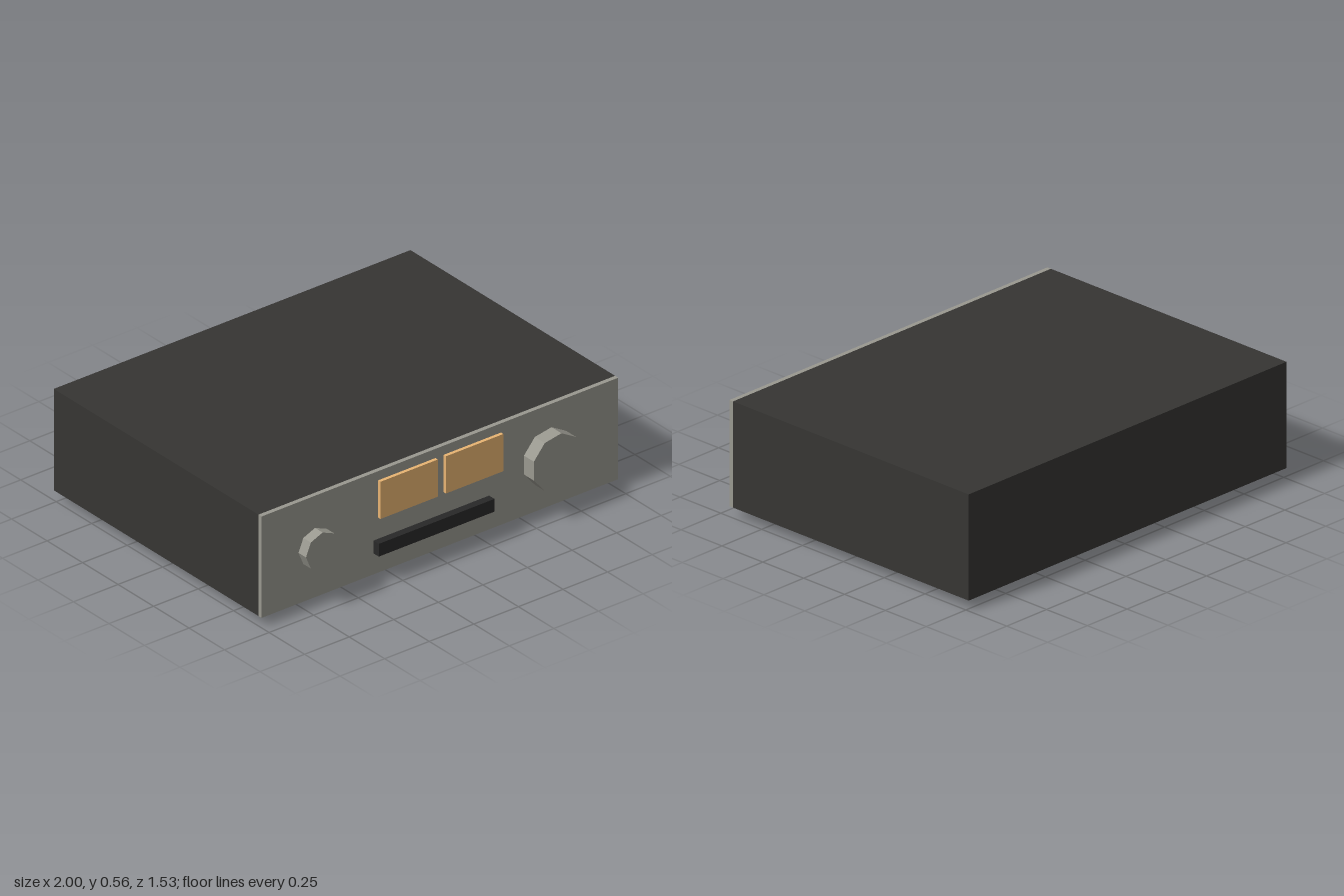
import * as THREE from 'three';

const material = (color) => new THREE.MeshStandardMaterial({ color, flatShading: true });

export function createModel() {
  const group = new THREE.Group();
  const dark = material(0x363533);
  const black = material(0x282828);
  const metal = material(0x99988f);
  const amber = material(0xe8b472);
  const panelFront = 0.697;

  const add = (name, geometry, mat) => {
    const mesh = new THREE.Mesh(geometry, mat);
    mesh.name = name;
    group.add(mesh);
    return mesh;
  };

  // Box given by its minimum and maximum corners
  const box = (name, [x0, y0, z0], [x1, y1, z1], mat) =>
    add(name, new THREE.BoxGeometry(x1 - x0, y1 - y0, z1 - z0), mat)
      .position.set((x0 + x1) / 2, (y0 + y1) / 2, (z0 + z1) / 2);

  // Faceted knob on the panel, with one corner pointing towards +x
  const knob = (name, x, y, radius, sides, front) => {
    const depth = front - panelFront;
    const geometry = new THREE.CylinderGeometry(radius, radius, depth, sides, 1, false, Math.PI / 2);
    geometry.rotateX(Math.PI / 2);
    add(name, geometry, metal).position.set(x, y, panelFront + depth / 2);
  };

  // Case and front panel
  box('case', [-1, 0.05, -0.767], [1, 0.56, 0.675], dark);
  box('frontPanel', [-1, 0.05, 0.675], [1, 0.56, panelFront], metal);

  // Pair of meter windows
  box('rightMeter', [-0.347, 0.327, panelFront], [-0.025, 0.514, 0.714], amber);
  box('leftMeter', [0.02, 0.327, panelFront], [0.342, 0.514, 0.714], amber);

  // Long bar below the meters
  box('controlBar', [-0.373, 0.156, panelFront], [0.276, 0.22, 0.735], black);

  // Knobs
  knob('smallKnob', -0.7, 0.305, 0.093, 8, 0.75);
  knob('volumeKnob', 0.602, 0.305, 0.139, 9, 0.767);

  // Four feet
  for (const x of [-0.792, 0.792]) {
    for (const z of [-0.51, 0.47]) {
      box('foot', [x - 0.093, 0, z - 0.07], [x + 0.093, 0.05, z + 0.07], black);
    }
  }
  return group;
}
